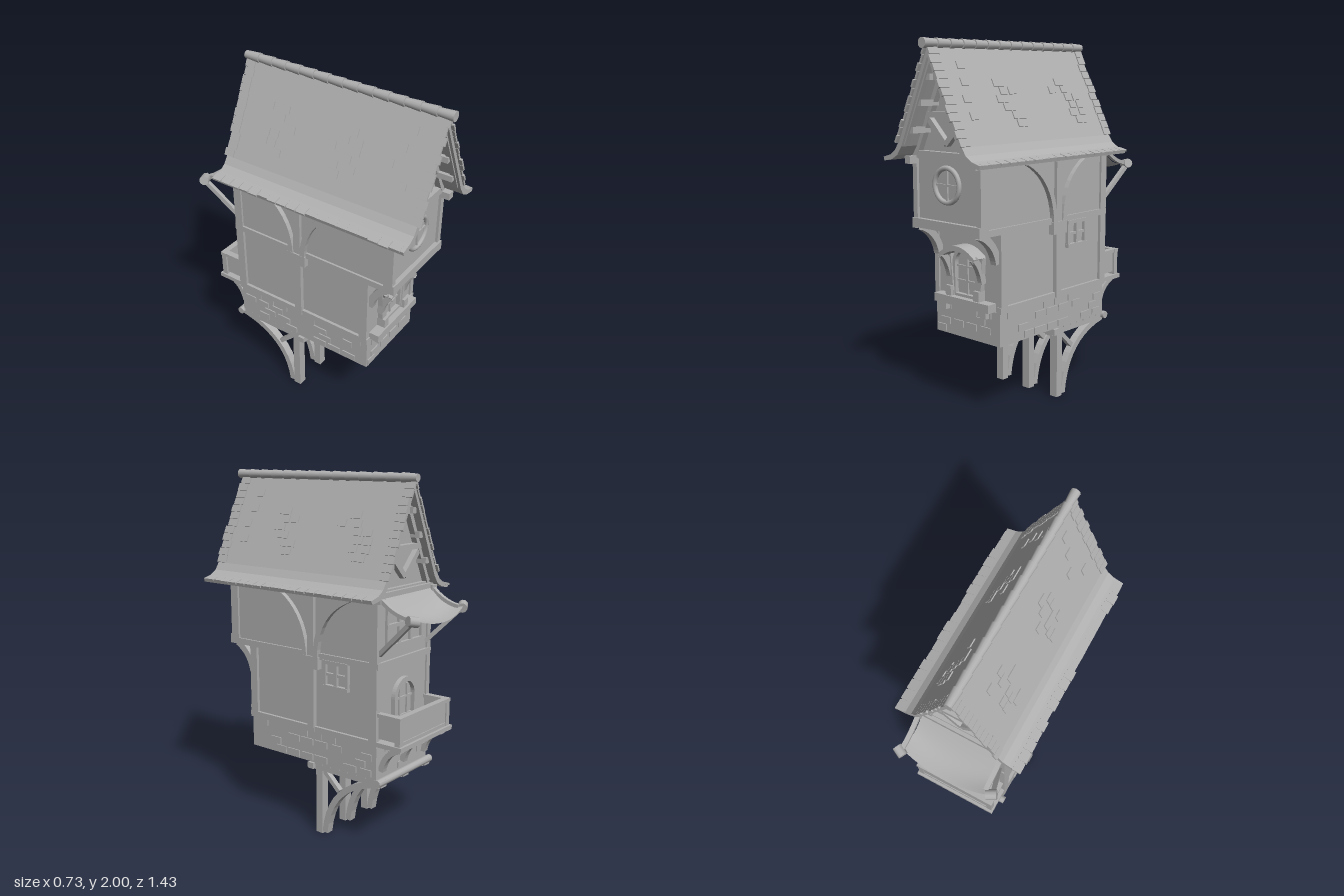
import * as THREE from 'three';

export function createModel() {
  const model = new THREE.Group();
  const grey = new THREE.MeshStandardMaterial({ color: 0xb0b0b0 });
  grey.name = 'plain grey';
  const greyCloth = grey.clone();
  greyCloth.name = 'plain grey cloth';
  greyCloth.side = THREE.DoubleSide;

  let seed = 7;
  const rnd = () => (seed = (seed * 16807) % 2147483647) / 2147483647;
  const jit = (a) => (rnd() - 0.5) * 2 * a;

  const add = (name, geo, mat = grey) => {
    const m = new THREE.Mesh(geo, mat);
    m.name = name;
    model.add(m);
    return m;
  };
  // box given by its limits on each axis
  const block = (name, x0, x1, y0, y1, z0, z1) => {
    const m = add(name, new THREE.BoxGeometry(x1 - x0, y1 - y0, z1 - z0));
    m.position.set((x0 + x1) / 2, (y0 + y1) / 2, (z0 + z1) / 2);
    return m;
  };
  // straight timber between two points
  const beam = (name, a, b, w = 0.03, h = w) => {
    const A = new THREE.Vector3(...a), B = new THREE.Vector3(...b);
    const m = add(name, new THREE.BoxGeometry(w, h, A.distanceTo(B)));
    m.position.copy(A).add(B).multiplyScalar(0.5);
    m.lookAt(B);
    return m;
  };
  const pole = (name, a, b, r, r2 = r, n = 10) => {
    const A = new THREE.Vector3(...a), B = new THREE.Vector3(...b);
    const m = add(name, new THREE.CylinderGeometry(r2, r, A.distanceTo(B), n));
    m.position.copy(A).add(B).multiplyScalar(0.5);
    m.quaternion.setFromUnitVectors(new THREE.Vector3(0, 1, 0), B.clone().sub(A).normalize());
    return m;
  };
  // curved timber lying in the z-y plane, following three control points
  const curved = (name, x, p, width, depth) => {
    const c = new THREE.QuadraticBezierCurve(...p.map((q) => new THREE.Vector2(...q)));
    const left = [], right = [];
    for (let i = 0; i <= 10; i++) {
      const q = c.getPoint(i / 10), t = c.getTangent(i / 10);
      left.push(new THREE.Vector2(q.x - t.y * width / 2, q.y + t.x * width / 2));
      right.unshift(new THREE.Vector2(q.x + t.y * width / 2, q.y - t.x * width / 2));
    }
    const g = new THREE.ExtrudeGeometry(new THREE.Shape([...left, ...right]), { depth, bevelEnabled: false });
    g.translate(0, 0, -depth / 2).rotateY(-Math.PI / 2);
    add(name, g).position.x = x;
  };
  const archPath = (Type, r, y0, yc) => {
    const s = new Type();
    s.moveTo(-r, y0);
    s.lineTo(r, y0);
    s.lineTo(r, yc);
    s.absarc(0, yc, r, 0, Math.PI, false);
    s.lineTo(-r, y0);
    return s;
  };
  const archFrame = (name, ro, ri, y0, yc, depth, z, turn) => {
    const s = archPath(THREE.Shape, ro, y0, yc);
    s.holes.push(archPath(THREE.Path, ri, y0 + 0.02, yc));
    const m = add(name, new THREE.ExtrudeGeometry(s, { depth, bevelEnabled: false, curveSegments: 12 }));
    m.position.z = z;
    m.rotation.y = turn;
  };

  // main volumes
  block('stoneBase', -0.24, 0.24, 0.415, 0.6, -0.47, 0.42);
  block('lowerWalls', -0.235, 0.235, 0.6, 1.03, -0.465, 0.41);
  block('upperWalls', -0.24, 0.24, 1.02, 1.42, -0.465, 0.55);
  const gable = new THREE.Shape([[-0.235, 1.4], [0.235, 1.4], [0.22, 1.45], [0, 1.91], [-0.22, 1.45]]
    .map((p) => new THREE.Vector2(...p)));
  add('gableWalls', new THREE.ExtrudeGeometry(gable, { depth: 0.97, bevelEnabled: false })).position.z = -0.44;

  // raised stones in the base, side by side in courses
  for (let row = 0; row < 4; row++) {
    const y = 0.425 + row * 0.044;
    for (const s of [-1, 1]) {
      for (let z = -0.44; z < 0.36; z += 0.1) {
        if (rnd() < 0.5) continue;
        const w = 0.06 + rnd() * 0.03, z0 = z + (row % 2) * 0.04;
        block('baseStone', s * 0.241 - 0.006, s * 0.241 + 0.006, y, y + 0.037, z0, z0 + w);
      }
      for (let x = -0.23; x < 0.14; x += 0.1) {
        if (rnd() < 0.5) continue;
        const x0 = x + (row % 2) * 0.03, z = s > 0 ? 0.421 : -0.471;
        block('baseStone', x0, x0 + 0.06 + rnd() * 0.02, y, y + 0.037, z - 0.006, z + 0.006);
      }
    }
  }

  // timber framing on both long sides
  for (const s of [-1, 1]) {
    const side = (name, y0, y1, z0, z1, out = 0.252) =>
      block(name, Math.min(s * 0.22, s * out), Math.max(s * 0.22, s * out), y0, y1, z0, z1);
    side('sillBeam', 0.595, 0.63, -0.475, 0.425);
    side('middleBeam', 1.015, 1.05, -0.47, 0.575);
    side('eaveBeam', 1.36, 1.4, -0.5, 0.61, 0.262);
    side('lowerFrontPost', 0.6, 1.03, 0.37, 0.42);
    side('upperFrontPost', 1.02, 1.4, 0.51, 0.565);
    side('rearPost', 0.6, 1.4, -0.475, -0.425);
    side('centrePost', 0.6, 1.4, -0.06, -0.015, 0.26);
    side('centreCorbel', 0.96, 1.03, -0.095, 0.02, 0.268);
    curved('curvedBrace', s * 0.252, [[0.0, 1.02], [0.01, 1.27], [0.22, 1.37]], 0.03, 0.03);
    curved('curvedBrace', s * 0.252, [[-0.075, 1.02], [-0.08, 1.28], [-0.31, 1.37]], 0.03, 0.03);
    curved('overhangBracket', s * 0.215, [[0.42, 0.86], [0.44, 0.97], [0.54, 1.02]], 0.04, 0.04);
    for (const z of [0.2, -0.21]) side('joistEnd', 1.365, 1.395, z - 0.02, z + 0.02, 0.28);
  }

  // small side window
  const sideWindow = (y0, y1, z0, z1, out) => block('sideWindowFrame', 0.23, out, y0, y1, z0, z1);
  sideWindow(0.865, 0.885, -0.29, -0.12, 0.258);
  sideWindow(1.0, 1.02, -0.29, -0.12, 0.258);
  for (const z of [-0.28, -0.205, -0.13]) sideWindow(0.865, 1.02, z - 0.009, z + 0.009, 0.254);
  sideWindow(0.935, 0.95, -0.28, -0.13, 0.25);

  // front and rear framing
  block('frontOverhangBeam', -0.252, 0.252, 1.02, 1.07, 0.52, 0.575);
  block('frontTieBeam', -0.25, 0.25, 1.39, 1.43, 0.53, 0.565);
  block('rearTieBeam', -0.25, 0.25, 1.36, 1.41, -0.485, -0.44);
  block('rearMiddleBeam', -0.25, 0.25, 1.015, 1.05, -0.48, -0.44);
  block('frontSill', -0.205, 0.205, 0.6, 0.645, 0.4, 0.47);
  for (const x of [-0.15, 0.15]) block('sillCorbel', x - 0.02, x + 0.02, 0.56, 0.6, 0.4, 0.455);

  // round front window
  add('roundWindowFrame', new THREE.TorusGeometry(0.09, 0.014, 8, 28)).position.set(0, 1.26, 0.555);
  block('roundWindowBar', -0.006, 0.006, 1.17, 1.35, 0.55, 0.56);
  block('roundWindowBar', -0.09, 0.09, 1.254, 1.266, 0.55, 0.56);

  // arched front window under a hood
  archFrame('frontWindowFrame', 0.095, 0.075, 0.64, 0.825, 0.03, 0.405, 0);
  block('frontWindowBar', -0.006, 0.006, 0.65, 0.9, 0.408, 0.42);
  for (const y of [0.73, 0.81]) block('frontWindowBar', -0.075, 0.075, y - 0.005, y + 0.005, 0.408, 0.42);
  const hood = new THREE.Shape();
  hood.moveTo(-0.135, 0.88);
  hood.quadraticCurveTo(0, 0.99, 0.135, 0.88);
  hood.lineTo(0.125, 0.855);
  hood.quadraticCurveTo(0, 0.96, -0.125, 0.855);
  add('windowHood', new THREE.ExtrudeGeometry(hood, { depth: 0.1, bevelEnabled: false })).position.z = 0.4;
  for (const s of [-1, 1]) {
    curved('hoodBracket', s * 0.118, [[0.425, 0.74], [0.44, 0.83], [0.49, 0.88]], 0.035, 0.03);
    beam('windowPost', [s * 0.1, 0.645, 0.43], [s * 0.12, 0.88, 0.43], 0.028, 0.04);
    block('windowPostFoot', s * 0.105 - 0.02, s * 0.105 + 0.02, 0.645, 0.7, 0.41, 0.46);
  }

  // gable trusses, front and rear
  for (const z of [0.55, -0.455]) {
    block('collarBeam', -0.15, 0.15, 1.605, 1.635, z - 0.02, z + 0.02);
    for (const s of [-1, 1]) {
      beam('gableBrace', [0, 1.47, z], [s * 0.14, 1.61, z], 0.03, 0.03);
      beam('gableRafter', [s * 0.225, 1.42, z], [0, 1.885, z], 0.035, 0.035);
    }
  }
  for (const s of [-1, 1]) {
    beam('bargeRafter', [s * 0.215, 1.47, 0.645], [0, 1.92, 0.645], 0.03, 0.03);
    for (const [x, y] of [[0.16, 1.54], [0.095, 1.68], [0.03, 1.81]])
      block('purlin', s * x - 0.016, s * x + 0.016, y - 0.016, y + 0.016, -0.5, 0.65);
  }

  // roof with flared eaves
  const top = [[0, 1.965], [0.235, 1.475], [0.262, 1.435], [0.3, 1.41], [0.355, 1.395]];
  const under = [[0.35, 1.375], [0.29, 1.385], [0.245, 1.41], [0.212, 1.455], [0, 1.91]];
  const half = [...top, ...under];
  for (const s of [-1, 1]) {
    const pts = half.map(([x, y]) => new THREE.Vector2(s * x, y));
    const g = new THREE.ExtrudeGeometry(new THREE.Shape(pts), { depth: 1.19, bevelEnabled: false });
    add('roofSlope', g).position.z = -0.515;
    // thin tiles: ragged rows on both verges and loose patches on the slope
    const slope = Math.atan2(-0.49, 0.235) * s;
    const tile = (t, z, w) => {
      const m = add('roofTile', new THREE.BoxGeometry(0.042, 0.012, w));
      m.position.set(s * 0.235 * t, 1.965 - 0.49 * t, z);
      m.rotation.z = slope;
    };
    for (let i = 0; i < 12; i++) {
      tile((i + 0.7) / 12.2, 0.655 + jit(0.008), 0.07);
      tile((i + 0.7) / 12.2, -0.495 + jit(0.008), 0.06);
    }
    for (const zc of [-0.24, 0.2]) for (let r = 0; r < 6; r++)
      for (let k = 0; k < 2; k++) tile(0.38 + r * 0.085, zc + jit(0.1), 0.05);
    for (let k = 0; k < 4; k++) tile(0.2 + k * 0.17, 0.5 + jit(0.07), 0.05);
    // uneven tiles along the eave
    for (let z = -0.49; z < 0.66; z += 0.062) {
      const m = add('eaveTile', new THREE.BoxGeometry(0.05, 0.012, 0.056));
      m.position.set(s * (0.335 + jit(0.006)), 1.396, z);
      m.rotation.z = -0.25 * s;
    }
  }
  for (let i = 0; i < 14; i++) {
    const z = -0.535 + i * 0.0885;
    pole('ridgeCap', [0, 1.973, z], [0, 1.973, z + 0.094], 0.021, 0.027, 12);
  }

  // posts and braces beneath
  for (const x of [-0.21, 0, 0.21]) {
    block('supportPost', x - 0.025, x + 0.025, 0, 0.39, -0.1, -0.055);
    block('floorJoist', x - 0.025, x + 0.025, 0.375, 0.415, -0.5, -0.01);
    curved('supportBrace', x, [[-0.115, 0.01], [-0.15, 0.33], [-0.48, 0.385]], 0.035, 0.045);
    beam('supportStrut', [x, 0.375, -0.1], [x, 0.275, -0.205], 0.03, 0.025);
  }
  pole('rearFloorBeam', [-0.255, 0.4, -0.485], [0.255, 0.4, -0.485], 0.022);
  block('crossBeam', -0.255, 0.255, 0.38, 0.415, -0.05, -0.01);
  for (let i = 0; i < 7; i++) block('floorBoard', -0.24, 0.24, 0.405, 0.416, -0.46 + i * 0.06, -0.41 + i * 0.06);

  // rear balcony
  block('balconyFloor', -0.25, 0.25, 0.605, 0.63, -0.63, -0.46);
  for (const x of [-0.2, 0, 0.2]) curved('balconyBracket', x, [[-0.48, 0.46], [-0.5, 0.57], [-0.6, 0.6]], 0.03, 0.035);
  block('balconyPanel', -0.225, 0.225, 0.645, 0.765, -0.61, -0.597);
  block('balconyRail', -0.245, 0.245, 0.765, 0.785, -0.62, -0.585);
  block('balconyFoot', -0.235, 0.235, 0.63, 0.65, -0.615, -0.59);
  for (const s of [-1, 1]) {
    block('balconySidePanel', s * 0.223 - 0.006, s * 0.223 + 0.006, 0.645, 0.765, -0.6, -0.465);
    block('balconySideRail', s * 0.225 - 0.018, s * 0.225 + 0.018, 0.765, 0.785, -0.61, -0.465);
    block('balconyPost', s * 0.225 - 0.016, s * 0.225 + 0.016, 0.62, 0.77, -0.617, -0.585);
  }

  // rear door and upper window
  archFrame('rearDoorFrame', 0.105, 0.08, 0.62, 0.83, 0.025, -0.465, Math.PI);
  for (const x of [-0.035, 0.035]) block('rearDoorBar', x - 0.005, x + 0.005, 0.63, 0.89, -0.475, -0.46);
  for (const y of [0.72, 0.82]) block('rearDoorBar', -0.08, 0.08, y - 0.005, y + 0.005, -0.475, -0.46);
  for (const y of [1.12, 1.23, 1.33]) block('rearWindowRail', -0.17, 0.17, y - 0.01, y + 0.01, -0.483, -0.46);
  for (const x of [-0.16, -0.053, 0.053, 0.16]) block('rearWindowBar', x - 0.009, x + 0.009, 1.12, 1.33, -0.48, -0.46);

  // sagging cloth awning on two arms
  const cloth = new THREE.PlaneGeometry(1, 1, 14, 10);
  const pos = cloth.attributes.position;
  for (let i = 0; i < pos.count; i++) {
    const u = pos.getX(i) * 2, v = 0.5 - pos.getY(i);
    const sag = 0.05 * (1 - u * u) * v + 0.04 * Math.sin(Math.PI * v);
    pos.setXYZ(i, u * (0.225 + 0.03 * v * v) - 0.01 * v, 1.4 - 0.095 * v - sag, -0.47 - (0.2 + 0.03 * (1 - u * u)) * v);
  }
  cloth.computeVertexNormals();
  add('awningCloth', cloth, greyCloth);
  for (const [x, z] of [[-0.28, -0.655], [0.25, -0.68]]) {
    const s = Math.sign(x);
    beam('awningArm', [s * 0.22, 1.09, -0.465], [x, 1.29, z], 0.024);
    pole('awningKnob', [x - s * 0.03, 1.29, z - 0.015], [x + s * 0.02, 1.3, z + 0.01], 0.027);
    curved('awningSideRope', s * 0.24, [[-0.47, 1.4], [-0.56, 1.31], [z, 1.3]], 0.02, 0.025);
  }
  return model;
}
